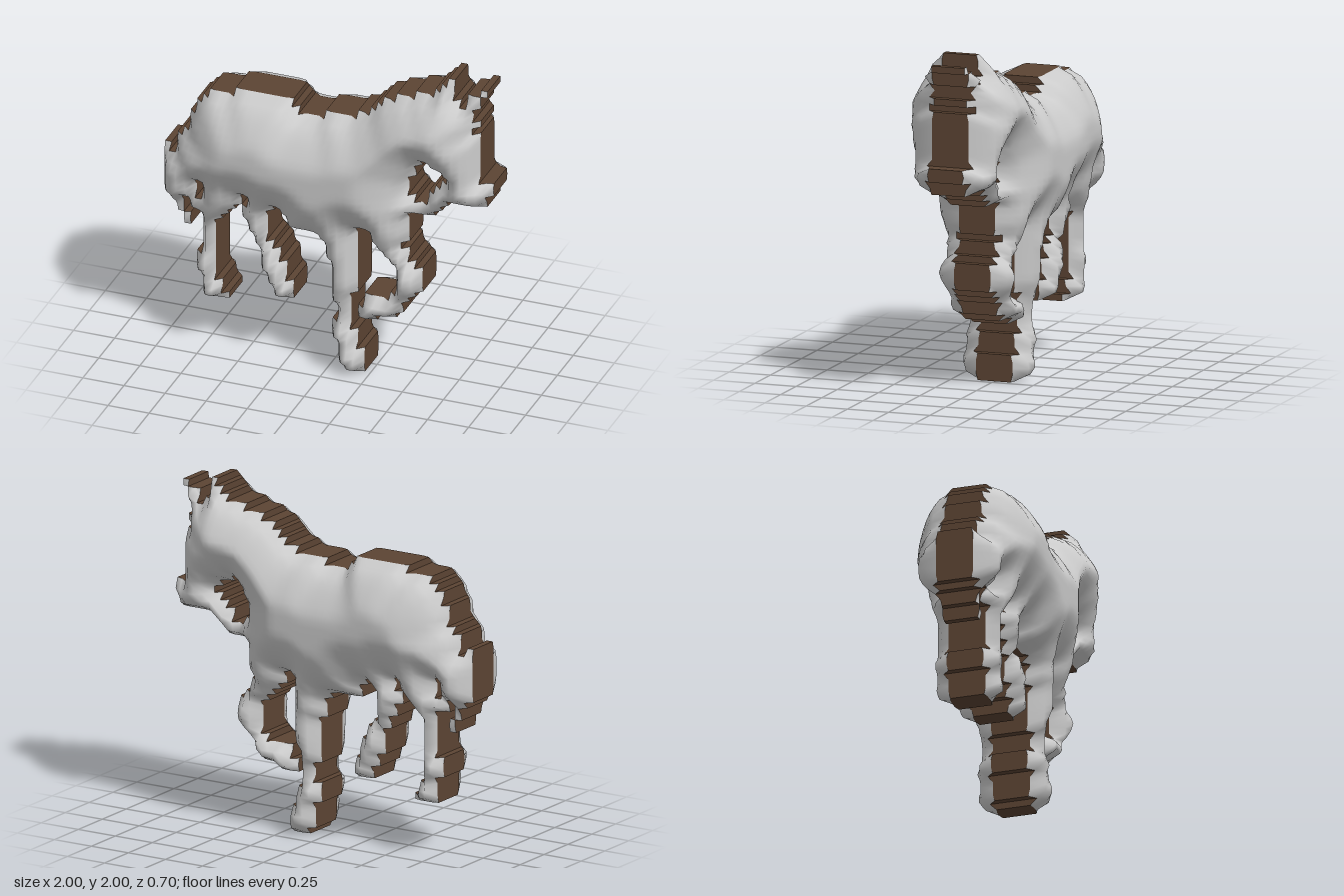
import * as THREE from 'three';

const N = 51;            // cells along each side of the silhouette grid
const CELL = 2 / N;
const EDGE = 0.11;       // half thickness at the rim
const SWELL = 0.24;      // extra half thickness at the fullest part

// Torso, neck and head: [first column, bottom, top], each holding until the next entry
const torso = [
  [0, 24, 32], [1, 24, 31], [2, 24, 34], [3, 24, 35], [4, 24, 38], [5, 27, 40], [6, 24, 41],
  [7, 24, 42], [11, 24, 43], [12, 26, 43], [13, 25, 43], [15, 26, 43], [17, 25, 43], [18, 24, 43],
  [19, 22, 43], [20, 22, 42], [21, 22, 41], [24, 21, 41], [25, 21, 42], [30, 24, 43], [32, 23, 44],
  [33, 23, 45], [34, 23, 46], [36, 23, 47], [38, 28, 47], [39, 28, 48], [42, 29, 49], [43, 30, 50],
  [44, 31, 51], [45, 31, 48], [46, 31, 47], [47, 31, 49], [49, 31, 35], [50, 33, 35], [51, 0, 0],
];

// Limbs and tail: [top row, left, right], each holding down to the next; last entry is the end row
const limbs = {
  hindLegBack: [[25, 6, 12], [24, 6, 11], [23, 6, 10], [22, 6, 9], [21, 6, 8], [15, 5, 8],
    [12, 6, 8], [11, 6, 9], [9, 6, 10], [8]],
  hindLegFront: [[26, 13, 17], [24, 12, 16], [22, 13, 16], [20, 14, 16], [19, 14, 17], [18, 15, 18],
    [16, 15, 19], [14, 16, 19], [13, 16, 20], [12, 17, 20], [10]],
  foreLegStanding: [[24, 25, 30], [18, 26, 30], [13, 26, 29], [11, 27, 29], [8, 26, 29], [7, 26, 30],
    [5, 27, 30], [4, 27, 31], [1, 28, 31], [0]],
  foreLegRaised: [[24, 32, 37], [22, 33, 38], [21, 34, 38], [20, 35, 39], [19, 36, 40], [15, 36, 39],
    [14, 35, 38], [13, 31, 37], [11, 30, 36], [10, 30, 33], [9]],
  tail: [[24, 1, 3], [23, 2, 3], [21, 3, 4], [19]],
  tailTuft: [[24, 4, 6], [22]],
  earTip: [[50, 49, 50], [49]],
};

// Openings: the gap between jaw and chest, and small nicks in the forelock
const gaps = [
  [[37, 40, 41], [36, 39, 43], [35, 39, 44], [34, 38, 43], [33, 38, 42], [32, 38, 41], [31, 39, 41], [30]],
  [[47, 48, 49], [45]],
  [[44, 48, 49], [43]],
];

function buildMask() {
  const mask = new Set();
  const key = (i, j) => j * N + i;
  for (let k = 0; k < torso.length - 1; k++) {
    const [start, low, high] = torso[k];
    for (let i = start; i < torso[k + 1][0]; i++)
      for (let j = low; j < high; j++) mask.add(key(i, j));
  }
  const paintRows = (rows, fill) => {
    for (let k = 0; k < rows.length - 1; k++) {
      const [top, left, right] = rows[k];
      for (let j = rows[k + 1][0]; j < top; j++)
        for (let i = left; i < right; i++) fill ? mask.add(key(i, j)) : mask.delete(key(i, j));
    }
  };
  Object.values(limbs).forEach((rows) => paintRows(rows, true));
  gaps.forEach((rows) => paintRows(rows, false));
  return (i, j) => i >= 0 && j >= 0 && i < N && j < N && mask.has(key(i, j));
}

// Half thickness at every grid corner, growing with distance from the rim
function buildThickness(filled) {
  const W = N + 1;
  const count = new Array(W * W).fill(0);
  const rim = [];
  for (let j = 0; j < W; j++)
    for (let i = 0; i < W; i++) {
      const c = filled(i, j) + filled(i - 1, j) + filled(i, j - 1) + filled(i - 1, j - 1);
      count[j * W + i] = c;
      if (c > 0 && c < 4) rim.push([i, j]);
    }
  const rimDepth = [0, EDGE - 0.01, EDGE, EDGE + 0.03];
  const depth = count.map((c, n) => {
    if (c < 4) return rimDepth[c];
    const i = n % W, j = Math.floor(n / W);
    let d = Infinity;
    for (const [a, b] of rim) d = Math.min(d, Math.hypot(a - i, b - j));
    return EDGE + SWELL * Math.sqrt(Math.min(1, d / 6.5));
  });
  // One light smoothing pass inside the rim
  return depth.map((z, n) => count[n] < 4 ? z
    : 0.6 * z + 0.1 * (depth[n - 1] + depth[n + 1] + depth[n - W] + depth[n + W]));
}

export function createModel() {
  const group = new THREE.Group();
  group.name = 'horse';
  const filled = buildMask();
  const W = N + 1;
  const depth = buildThickness(filled);
  const point = (i, j, side) => [i * CELL - 1, j * CELL, side * depth[j * W + i]];

  const addMesh = (name, positions, index, color, flatShading) => {
    const geometry = new THREE.BufferGeometry();
    geometry.setAttribute('position', new THREE.Float32BufferAttribute(positions, 3));
    geometry.setIndex(index);
    geometry.computeVertexNormals();
    const mesh = new THREE.Mesh(geometry, new THREE.MeshStandardMaterial({ color, flatShading }));
    mesh.name = name;
    group.add(mesh);
  };

  // Swollen left and right flanks
  for (const side of [1, -1]) {
    const positions = [], index = [];
    for (let j = 0; j < W; j++)
      for (let i = 0; i < W; i++) positions.push(...point(i, j, side));
    for (let j = 0; j < N; j++)
      for (let i = 0; i < N; i++) {
        if (!filled(i, j)) continue;
        const a = j * W + i, b = a + 1, c = b + W, d = a + W;
        if (side > 0) index.push(a, b, c, a, c, d);
        else index.push(a, c, b, a, d, c);
      }
    addMesh(side > 0 ? 'frontFlank' : 'backFlank', positions, index, 0xcccccc, false);
  }

  // Brown stepped band around the silhouette: neighbour offset, then edge start and end
  const walls = [
    [0, -1, 0, 0, 1, 0], [1, 0, 1, 0, 1, 1], [0, 1, 1, 1, 0, 1], [-1, 0, 0, 1, 0, 0],
  ];
  const positions = [], index = [];
  for (let j = 0; j < N; j++)
    for (let i = 0; i < N; i++)
      for (const [di, dj, pi, pj, qi, qj] of walls) {
        if (!filled(i, j) || filled(i + di, j + dj)) continue;
        const n = positions.length / 3;
        positions.push(
          ...point(i + pi, j + pj, -1), ...point(i + qi, j + qj, -1),
          ...point(i + qi, j + qj, 1), ...point(i + pi, j + pj, 1));
        index.push(n, n + 1, n + 2, n, n + 2, n + 3);
      }
  addMesh('edgeBand', positions, index, 0x5c4433, true);
  return group;
}
